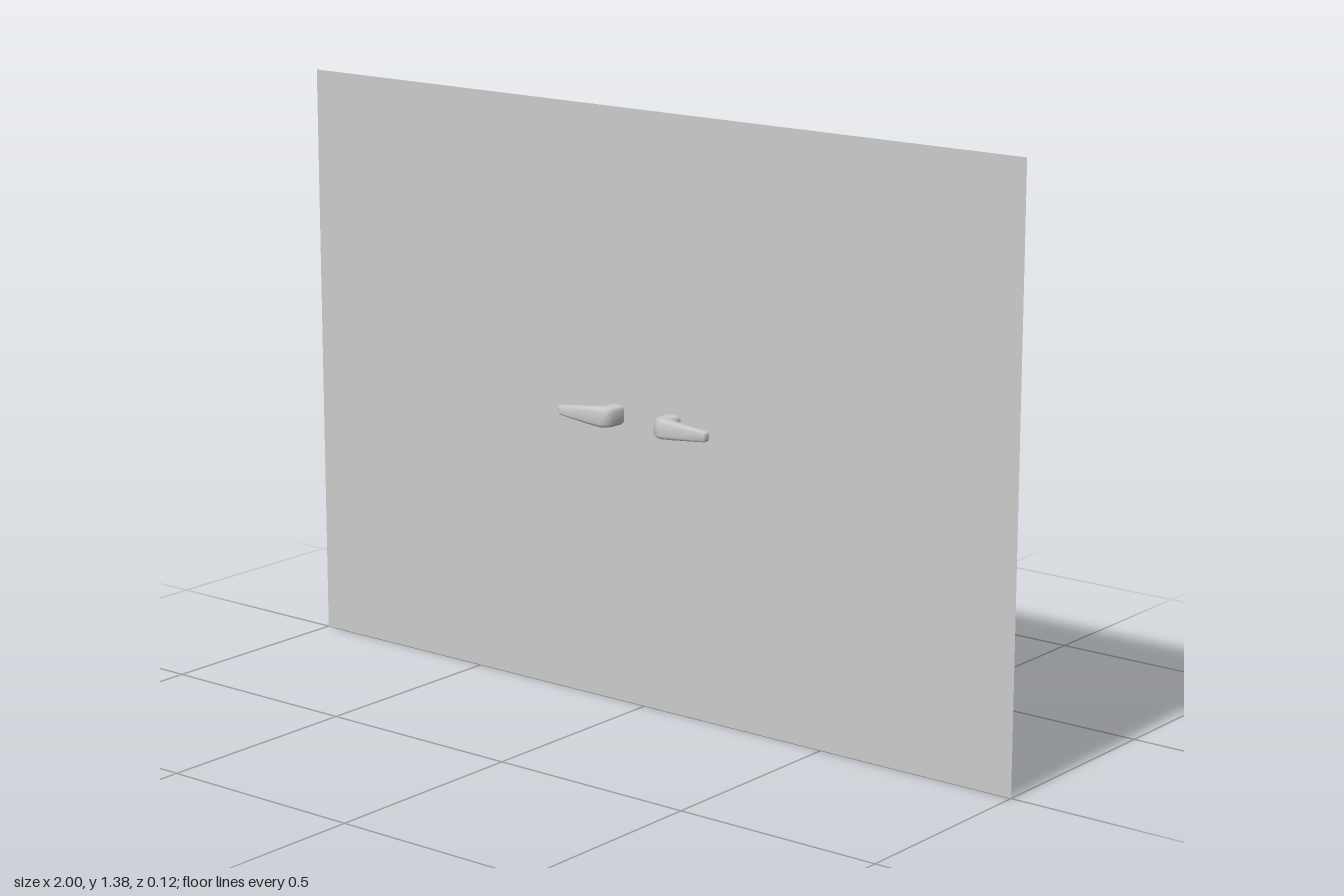
import * as THREE from 'three';

// Half of the U clip, tip to middle: outer x, outer z, inner x, inner z, half height
const HALF = [
  [0.213, 0.050, 0.213, 0.039, 0.007],
  [0.209, 0.054, 0.209, 0.035, 0.011],
  [0.190, 0.055, 0.190, 0.034, 0.013],
  [0.125, 0.059, 0.125, 0.030, 0.019],
  [0.085, 0.060, 0.108, 0.027, 0.022],
  [0.068, 0.054, 0.104, 0.024, 0.022],
  [0.060, 0.036, 0.102, 0.018, 0.022],
];

// Rectangle with chamfered corners: across (-1 outer, 1 inner), height
const RING = [[1, -0.65], [1, 0.65], [0.65, 1], [-0.65, 1], [-1, 0.65], [-1, -0.65], [-0.65, -1], [0.65, -1]];

function clipGeometry() {
  const mirrored = HALF.map(([ox, oz, ix, iz, h]) => [ox, -oz, ix, -iz, h]).reverse();
  const stations = [...HALF, ...mirrored];
  const n = RING.length;
  const pos = [];
  const index = [];
  for (const [ox, oz, ix, iz, h] of stations) {
    for (const [c, s] of RING) {
      const t = (c + 1) / 2;
      pos.push(ox + (ix - ox) * t, s * h, oz + (iz - oz) * t);
    }
  }
  for (let i = 0; i < stations.length - 1; i++) {
    for (let j = 0; j < n; j++) {
      const a = i * n + j, a2 = i * n + (j + 1) % n;
      index.push(a, a + n, a2 + n, a, a2 + n, a2);
    }
  }
  // Tip caps
  const last = (stations.length - 1) * n;
  for (let j = 1; j < n - 1; j++) {
    index.push(0, j, j + 1, last, last + j + 1, last + j);
  }
  const geo = new THREE.BufferGeometry();
  geo.setAttribute('position', new THREE.Float32BufferAttribute(pos, 3));
  geo.setIndex(index);
  geo.computeVertexNormals();
  return geo;
}

export function createModel() {
  const group = new THREE.Group();

  // Thin upright sheet
  const panel = new THREE.Mesh(
    new THREE.PlaneGeometry(2, 1.38),
    new THREE.MeshStandardMaterial({ color: 0xcccccc, side: THREE.DoubleSide })
  );
  panel.name = 'panel';
  panel.position.y = 0.69;
  group.add(panel);

  // Two U-shaped clips straddling the sheet, prongs pointing outward
  const geo = clipGeometry();
  const material = new THREE.MeshStandardMaterial({ color: 0xcccccc });
  for (const [name, turn] of [['leftClip', 0], ['rightClip', Math.PI]]) {
    const clip = new THREE.Mesh(geo, material);
    clip.name = name;
    clip.position.y = 0.678;
    clip.rotation.y = turn;
    group.add(clip);
  }
  return group;
}
